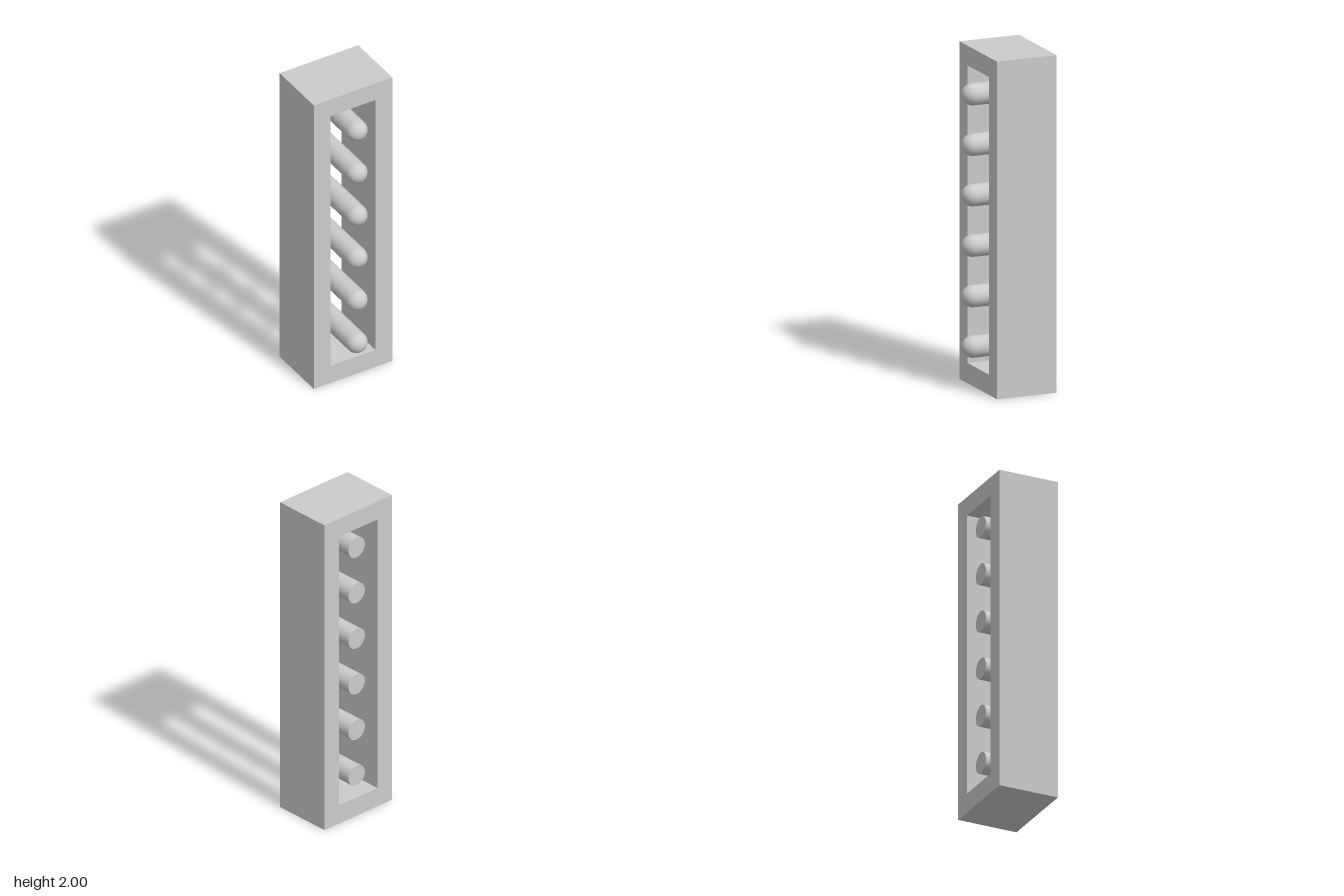
import * as THREE from 'three';

const grey = new THREE.MeshStandardMaterial({ color: 0xcccccc });

const BACK = -0.238, FRONT = 0.137;      // frame depth
const PIN_BACK = -0.225, PIN_TIP = 0.238, PIN_R = 0.0645;

function rectPath(path, x, y0, y1) {
  path.moveTo(-x, y0);
  path.lineTo(x, y0);
  path.lineTo(x, y1);
  path.lineTo(-x, y1);
  path.closePath();
  return path;
}

// Upright rectangular frame, open right through
function makeFrame() {
  const shape = rectPath(new THREE.Shape(), 0.265, 0, 2);
  shape.holes.push(rectPath(new THREE.Path(), 0.151, 0.12, 1.883));
  const geometry = new THREE.ExtrudeGeometry(shape, { depth: FRONT - BACK, bevelEnabled: false });
  geometry.translate(0, 0, BACK);
  const frame = new THREE.Mesh(geometry, grey);
  frame.name = 'frame';
  return frame;
}

// Round pin with a domed front end and a flat back end
function makePin() {
  const pin = new THREE.Group();
  const domeStart = PIN_TIP - PIN_R;
  const profile = [new THREE.Vector2(PIN_R, PIN_BACK)];
  const steps = 14;
  for (let i = 0; i <= steps; i++) {
    const a = (i / steps) * Math.PI / 2;
    profile.push(new THREE.Vector2(i === steps ? 0 : PIN_R * Math.cos(a), domeStart + PIN_R * Math.sin(a)));
  }
  const body = new THREE.Mesh(new THREE.LatheGeometry(profile, 40).rotateX(Math.PI / 2), grey);
  body.name = 'pinBody';
  const end = new THREE.Mesh(new THREE.CircleGeometry(PIN_R, 40).rotateY(Math.PI).translate(0, 0, PIN_BACK), grey);
  end.name = 'pinBackEnd';
  pin.add(body, end);
  return pin;
}

export function createModel() {
  const model = new THREE.Group();
  model.name = 'pinRack';
  model.add(makeFrame());

  // Column of six evenly spaced pins
  for (let i = 0; i < 6; i++) {
    const pin = makePin();
    pin.name = `pin${i + 1}`;
    pin.position.y = 0.255 + i * 0.299;
    model.add(pin);
  }
  return model;
}
